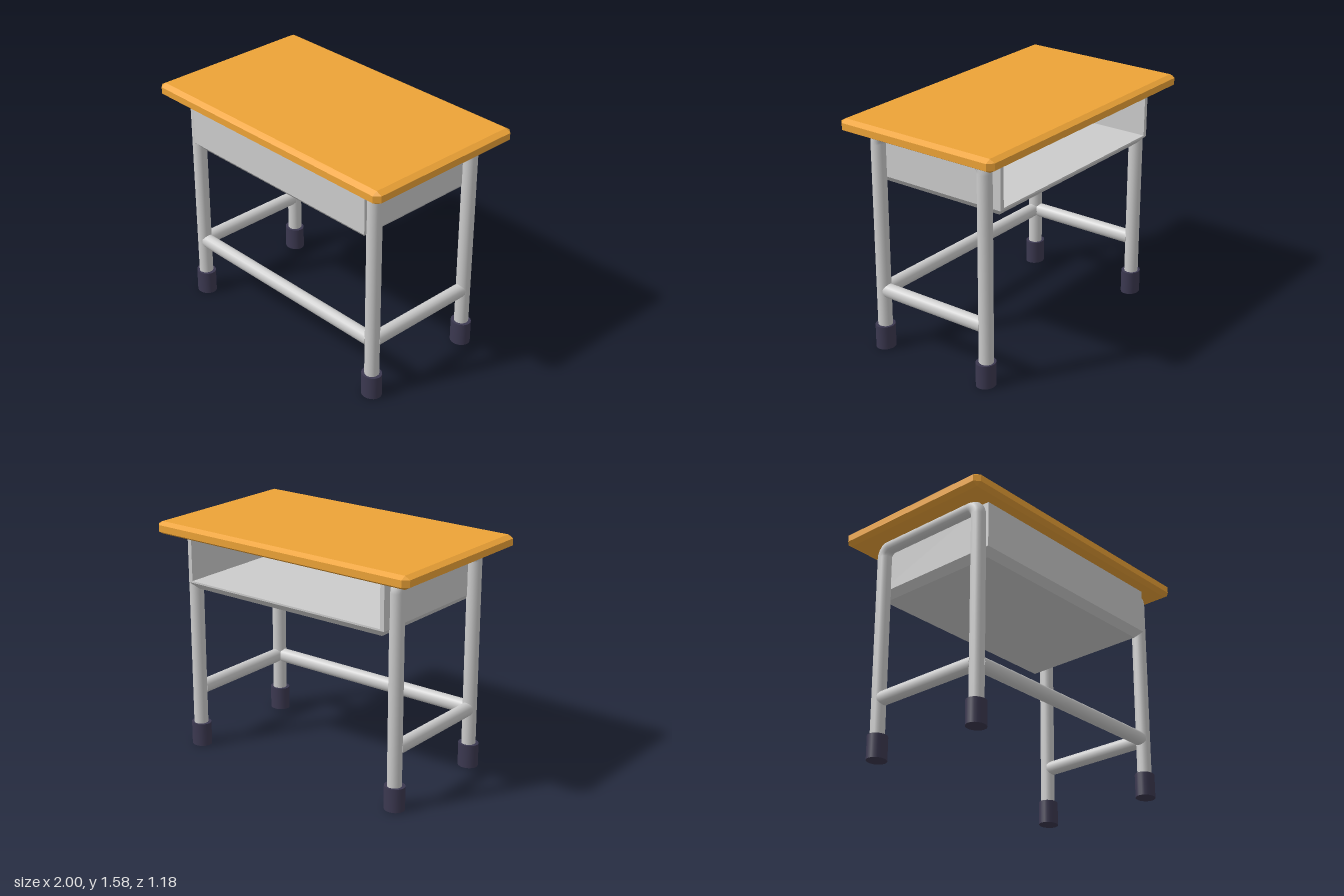
import * as THREE from 'three';
import { ConvexGeometry } from 'three/addons/geometries/ConvexGeometry.js';

const metal = new THREE.MeshStandardMaterial({ color: 0xcccccc });
const wood = new THREE.MeshStandardMaterial({ color: 0xeda337 });
const rubber = new THREE.MeshStandardMaterial({ color: 0x3b3850 });

const LEGS_X = [-0.806, 0.823];
const FRONT_Z = 0.427, BACK_Z = -0.406;
const PIPE_R = 0.0475;

function add(group, name, geometry, material, x = 0, y = 0, z = 0) {
  const mesh = new THREE.Mesh(geometry, material);
  mesh.name = name;
  mesh.position.set(x, y, z);
  group.add(mesh);
  return mesh;
}

// Board with a single chamfer along every edge
function chamferedBoard(w, h, d, cx, cy, cz) {
  const points = [];
  for (const x of [-1, 1]) for (const y of [-1, 1]) for (const z of [-1, 1]) {
    points.push(
      new THREE.Vector3(x * (w / 2 - cx), y * h / 2, z * (d / 2 - cz)),
      new THREE.Vector3(x * w / 2, y * (h / 2 - cy), z * (d / 2 - cz)),
      new THREE.Vector3(x * (w / 2 - cx), y * (h / 2 - cy), z * d / 2));
  }
  return new ConvexGeometry(points);
}

// Two legs and the top rail bent from one pipe
function legArch() {
  const top = 1.482, bend = 0.07, foot = 0.08;
  const p = (y, z) => new THREE.Vector3(0, y, z);
  const k = bend * 0.448;
  const path = new THREE.CurvePath();
  path.add(new THREE.LineCurve3(p(foot, FRONT_Z), p(top - bend, FRONT_Z)));
  path.add(new THREE.CubicBezierCurve3(p(top - bend, FRONT_Z), p(top - k, FRONT_Z),
    p(top, FRONT_Z - k), p(top, FRONT_Z - bend)));
  path.add(new THREE.LineCurve3(p(top, FRONT_Z - bend), p(top, BACK_Z + bend)));
  path.add(new THREE.CubicBezierCurve3(p(top, BACK_Z + bend), p(top, BACK_Z + k),
    p(top - k, BACK_Z), p(top - bend, BACK_Z)));
  path.add(new THREE.LineCurve3(p(top - bend, BACK_Z), p(foot, BACK_Z)));
  return new THREE.TubeGeometry(path, 180, PIPE_R, 16);
}

function rect(PathType, x0, y0, x1, y1) {
  return new PathType([[x0, y0], [x1, y0], [x1, y1], [x0, y1]].map(q => new THREE.Vector2(...q)));
}

// Book tray: open at the back, with a bevelled underside
function createTray() {
  const tray = new THREE.Group();
  tray.name = 'bookTray';
  const x0 = -0.78, x1 = 0.797, y0 = 1.185, y1 = 1.5, z0 = -0.502, z1 = 0.485, t = 0.03;
  const frame = rect(THREE.Shape, x0, y0, x1, y1);
  frame.holes.push(rect(THREE.Path, x0 + t, y0 + 0.012, x1 - t, y1 - 0.02));
  add(tray, 'trayWalls',
    new THREE.ExtrudeGeometry(frame, { depth: z1 - t - z0, bevelEnabled: false }), metal, 0, 0, z0);
  add(tray, 'trayFront', new THREE.BoxGeometry(x1 - x0, y1 - y0, t), metal,
    (x0 + x1) / 2, (y0 + y1) / 2, z1 - t / 2);
  const base = [];
  for (const [y, inset] of [[y0, 0], [1.138, 0.045]])
    for (const x of [x0 + inset, x1 - inset])
      for (const z of [z0 + inset, z1 - inset]) base.push(new THREE.Vector3(x, y, z));
  add(tray, 'trayBase', new ConvexGeometry(base), metal);
  return tray;
}

export function createModel() {
  const desk = new THREE.Group();
  desk.name = 'schoolDesk';

  add(desk, 'tabletop', chamferedBoard(2, 0.085, 1.182, 0.037, 0.02, 0.035), wood, 0, 1.5375, 0);
  desk.add(createTray());

  const arch = legArch();
  const foot = new THREE.CylinderGeometry(0.066, 0.066, 0.16, 20);
  const sideBar = new THREE.CylinderGeometry(0.049, 0.049, FRONT_Z - BACK_Z - 0.05, 16);
  sideBar.rotateX(Math.PI / 2);
  for (const x of LEGS_X) {
    add(desk, 'legArch', arch, metal, x);
    add(desk, 'sideStretcher', sideBar, metal, x, 0.407, (FRONT_Z + BACK_Z) / 2).scale.x = 0.9;
    // Rubber feet
    for (const z of [FRONT_Z, BACK_Z + 0.003]) add(desk, 'footCap', foot, rubber, x, 0.08, z).scale.set(1.06, 1, 0.94);
  }

  // Long stretcher between the front legs
  const longBar = new THREE.CylinderGeometry(0.049, 0.049, LEGS_X[1] - LEGS_X[0] - 0.05, 16);
  longBar.rotateZ(Math.PI / 2);
  add(desk, 'frontStretcher', longBar, metal, (LEGS_X[0] + LEGS_X[1]) / 2, 0.407, FRONT_Z).scale.z = 0.9;

  return desk;
}
